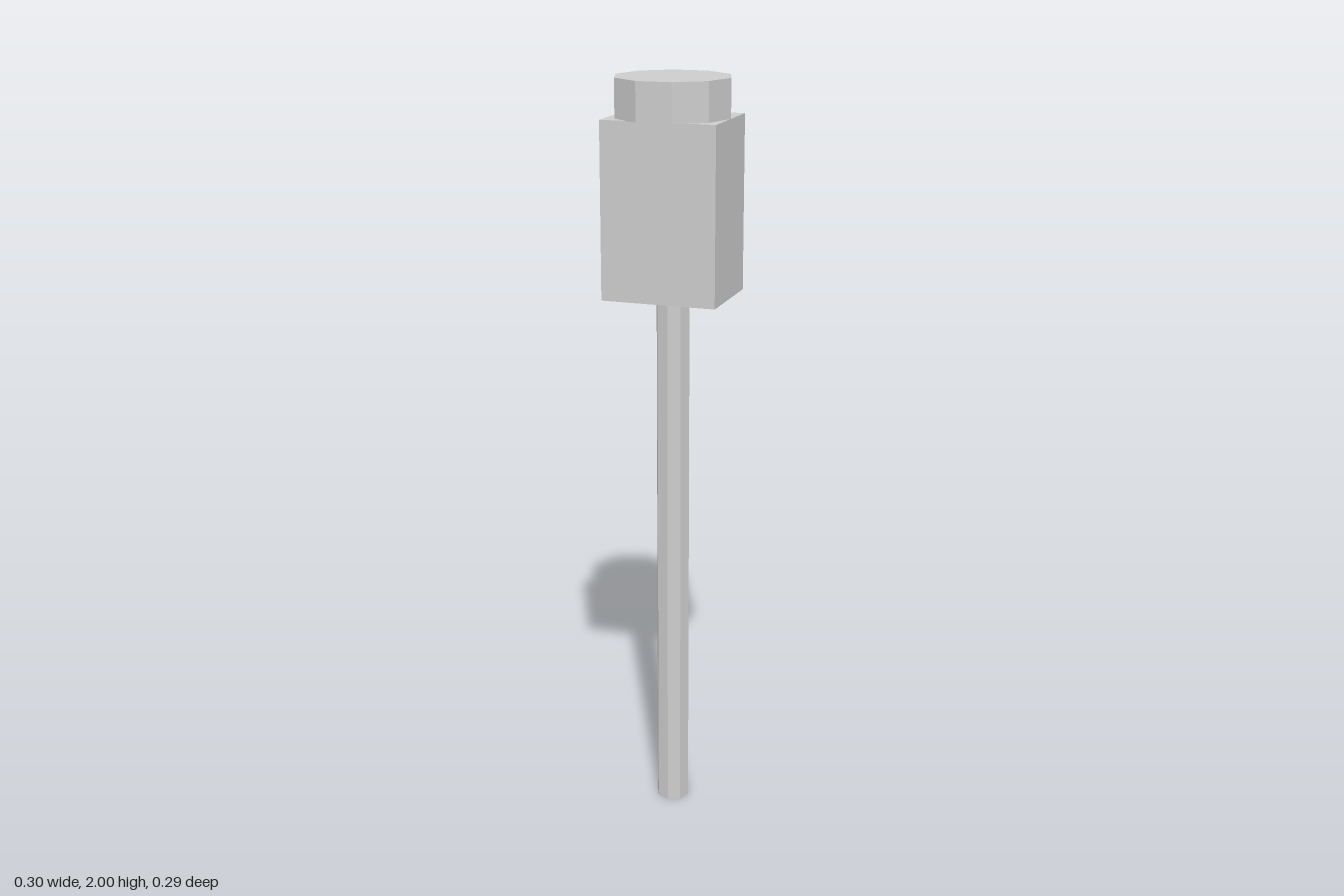
import * as THREE from 'three';

export function createModel() {
  const model = new THREE.Group();
  const grey = new THREE.MeshStandardMaterial({ color: 0xcccccc });
  grey.name = 'light grey';

  const add = (name, geometry, bottom, top) => {
    const mesh = new THREE.Mesh(geometry, grey);
    mesh.name = name;
    mesh.position.y = (bottom + top) / 2;
    model.add(mesh);
  };

  // Faceted upright prism with a corner on the x axis
  const prism = (radius, height, sides) => {
    const g = new THREE.CylinderGeometry(radius, radius, height, sides).rotateY(Math.PI / 2).toNonIndexed();
    g.computeVertexNormals();
    return g;
  };

  // Eight-sided handle
  add('handle', prism(0.045, 1.444, 8), 0, 1.444);
  // Rectangular head block
  add('head', new THREE.BoxGeometry(0.303, 0.456, 0.242), 1.444, 1.9);
  // Ten-sided striking cap
  add('cap', prism(0.152, 0.1, 10), 1.9, 2);

  return model;
}
